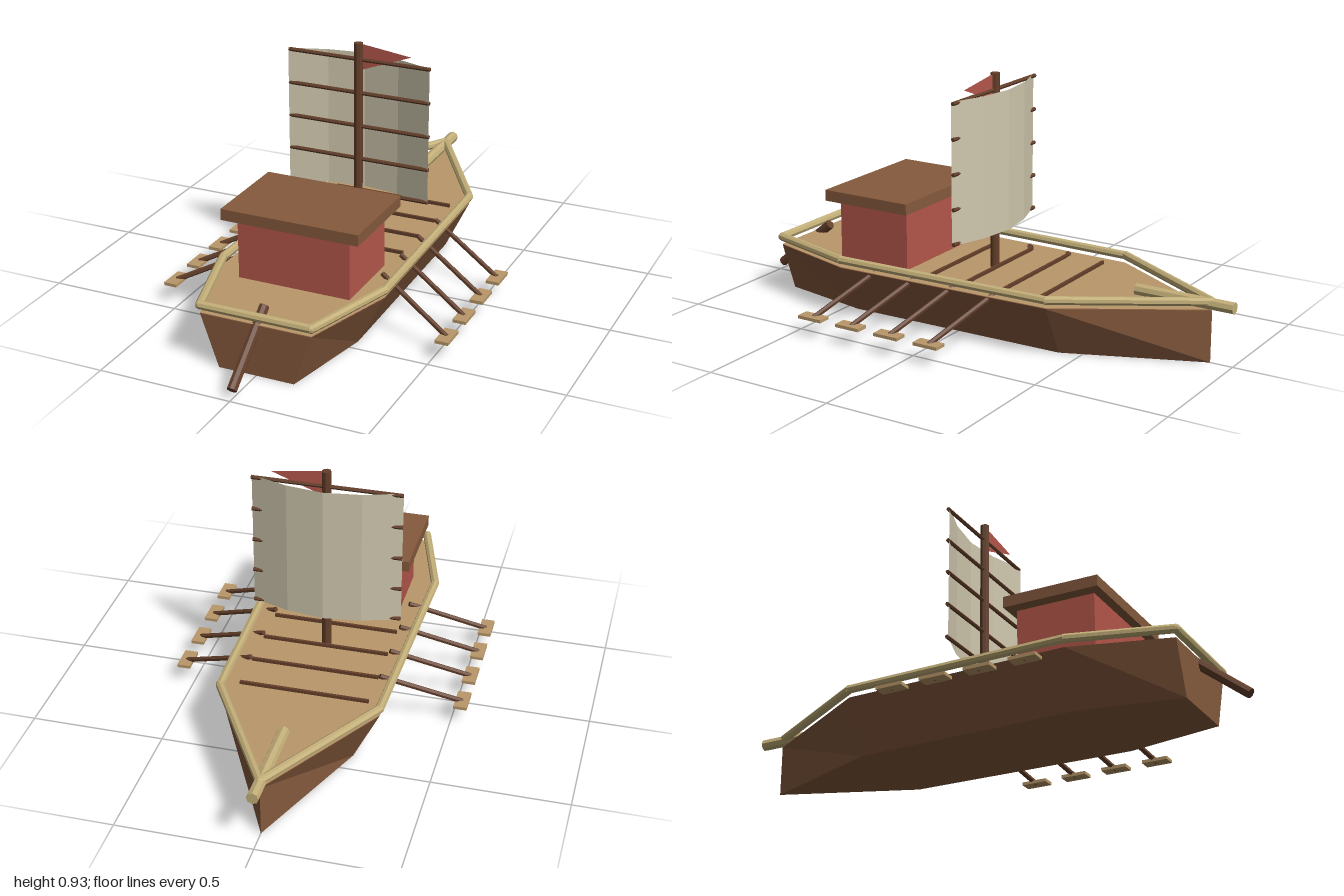
import * as THREE from 'three';

const mat = (name, color, extra = {}) =>
  Object.assign(new THREE.MeshStandardMaterial({ color, flatShading: true, ...extra }), { name });

export function createModel() {
  const hullWood = mat('hull wood', 0x855a3d);
  const darkWood = mat('dark wood', 0x643f2a);
  const deckWood = mat('deck wood', 0xba986a);
  const bamboo = mat('bamboo', 0xc2ae78);
  const red = mat('red paint', 0xb5574b, { side: THREE.DoubleSide });
  const cloth = mat('sail cloth', 0xd0c8ae, { side: THREE.DoubleSide });

  const boat = new THREE.Group();
  boat.name = 'sailingBoat';

  const add = (name, geometry, material) => {
    const mesh = new THREE.Mesh(geometry, material);
    mesh.name = name;
    boat.add(mesh);
    return mesh;
  };
  const box = (name, w, h, d, x, y, z, material) =>
    add(name, new THREE.BoxGeometry(w, h, d).translate(x, y, z), material);
  // Round pole between two points
  const pole = (name, from, to, radius, material, sides = 8) => {
    const a = new THREE.Vector3(...from), b = new THREE.Vector3(...to);
    const dir = b.clone().sub(a);
    const mesh = add(name, new THREE.CylinderGeometry(radius, radius, dir.length(), sides), material);
    mesh.position.copy(a).add(b).multiplyScalar(0.5);
    mesh.quaternion.setFromUnitVectors(new THREE.Vector3(0, 1, 0), dir.normalize());
    return mesh;
  };

  // Hull: plan outline [x, z] extruded upward, narrowed at the keel
  const outline = [[0, -0.915], [-0.295, -0.42], [-0.317, 0.45], [-0.21, 0.812],
    [0.21, 0.812], [0.317, 0.45], [0.295, -0.42]];
  const plan = new THREE.Shape(outline.map(([x, z]) => new THREE.Vector2(x, -z)));
  const hull = new THREE.ExtrudeGeometry(plan, { depth: 0.193, bevelEnabled: false });
  hull.rotateX(-Math.PI / 2);
  const p = hull.attributes.position;
  for (let i = 0; i < p.count; i++) if (p.getY(i) < 0.01) p.setX(i, p.getX(i) * 0.68);
  hull.computeVertexNormals();
  add('hull', hull, hullWood);
  add('deck', new THREE.ShapeGeometry(plan).rotateX(-Math.PI / 2).translate(0, 0.196, 0), deckWood);

  // Bamboo rail around the deck edge, with round joints
  outline.forEach(([x, z], i) => {
    const [nx, nz] = outline[(i + 1) % outline.length];
    pole('rail', [x, 0.225, z], [nx, 0.225, nz], 0.016, bamboo);
    add('railJoint', new THREE.SphereGeometry(0.016, 8, 6).translate(x, 0.225, z), bamboo);
  });
  pole('bowsprit', [0, 0.217, -0.62], [0, 0.217, -1], 0.022, bamboo);

  // Cross beams on the deck
  for (let i = 0; i < 4; i++) box('deckBeam', 0.48, 0.012, 0.01, 0, 0.202, -0.355 + i * 0.154, darkWood);

  // Cabin
  box('cabin', 0.43, 0.23, 0.3, 0, 0.31, 0.37, red);
  box('cabinRoof', 0.525, 0.042, 0.365, 0, 0.445, 0.372, hullWood);

  // Mast and yards
  const mastZ = -0.028;
  pole('mast', [0, 0.195, mastZ], [0, 0.932, mastZ], 0.0175, darkWood);
  for (let i = 0; i < 5; i++) {
    const y = 0.354 + i * 0.129;
    pole('yard', [-0.28, y, mastZ], [0.28, y, mastZ], 0.0075, darkWood, 6);
  }

  // Sail bulging toward the bow
  const sail = new THREE.PlaneGeometry(0.56, 0.528, 4, 1).translate(0, 0.612, 0);
  const s = sail.attributes.position;
  for (let i = 0; i < s.count; i++) {
    const t = s.getX(i) / 0.28;
    s.setZ(i, -0.022 - 0.065 * Math.cos(t * Math.PI / 2));
  }
  sail.computeVertexNormals();
  add('sail', sail, cloth);

  // Pennant
  const pennant = new THREE.Shape([[0.01, 0.93], [0.01, 0.83], [0.207, 0.905]].map(v => new THREE.Vector2(...v)));
  add('pennant', new THREE.ShapeGeometry(pennant).translate(0, 0, mastZ), red);

  // Steering oar at the stern
  pole('steeringOar', [0, 0.232, 0.74], [0, 0.034, 0.984], 0.0185, darkWood);

  // Four oars on each side
  for (const side of [-1, 1]) {
    for (let i = 0; i < 4; i++) {
      const z = -0.09 + i * 0.168;
      pole('oarShaft', [side * 0.245, 0.207, z - 0.11], [side * 0.535, 0.073, z - 0.002], 0.01, darkWood, 6);
      box('oarBlade', 0.05, 0.012, 0.1, side * 0.535, 0.073, z, deckWood);
    }
  }
  return boat;
}
